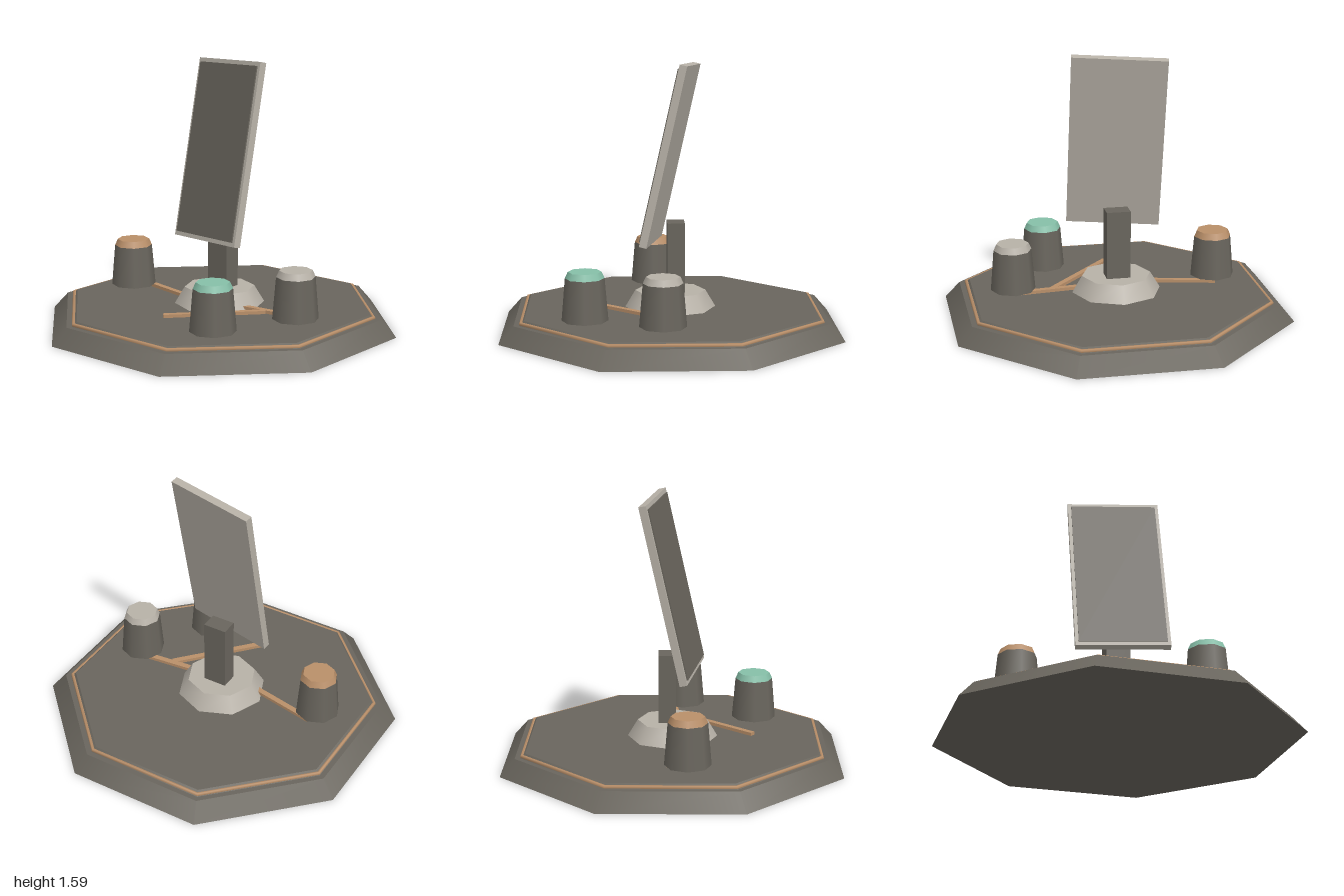
import * as THREE from 'three';

export function createModel() {
  const model = new THREE.Group();
  const mat = (name, color) => {
    const m = new THREE.MeshStandardMaterial({ color });
    m.name = name;
    return m;
  };
  const dark = mat('darkStone', 0x69655d);
  const pale = mat('paleStone', 0xb7b1a7);
  const copper = mat('copper', 0xb98f69);
  const mint = mat('mint', 0x86bfa8);

  const add = (name, geometry, material, x = 0, y = 0, z = 0, parent = model) => {
    const mesh = new THREE.Mesh(geometry, material);
    mesh.name = name;
    mesh.position.set(x, y, z);
    parent.add(mesh);
    return mesh;
  };
  // Eight-sided frustum standing between two heights
  const frustum = (rTop, rBottom, y0, y1) =>
    new THREE.CylinderGeometry(rTop, rBottom, y1 - y0, 8).translate(0, (y0 + y1) / 2, 0);

  // Octagonal platform: flat sides face the axes, sizes given to the flats
  const toCorner = 1 / Math.cos(Math.PI / 8);
  const slab = (top, bottom, y0, y1) =>
    frustum(top * toCorner, bottom * toCorner, y0, y1).rotateY(Math.PI / 8);
  add('base', slab(0.915, 1, 0, 0.1), dark);
  add('deck', slab(0.855, 0.89, 0.095, 0.125), dark);
  const trim = new THREE.TorusGeometry(0.873 * toCorner, 0.012, 6, 8);
  trim.rotateX(Math.PI / 2).rotateY(Math.PI / 8);
  add('copperTrim', trim, copper, 0, 0.108, 0);

  // Pedestal and post
  add('pedestal', frustum(0.21, 0.27, 0.125, 0.225), pale);
  add('post', new THREE.BoxGeometry(0.145, 0.44, 0.104), dark, 0, 0.42, -0.032);

  // Leaning, slightly turned panel
  const panel = new THREE.Group();
  panel.name = 'panel';
  panel.position.set(0, 1.05, 0);
  panel.rotation.set(-0.22, -0.192, 0);
  model.add(panel);
  add('panelFrame', new THREE.BoxGeometry(0.56, 1.08, 0.045), pale, 0, 0, 0, panel);
  add('panelScreen', new THREE.BoxGeometry(0.52, 1.03, 0.009), dark, 0, 0, 0.026, panel);

  // Copper strips: centre x, centre z, turn about y
  for (const [x, z, turn] of [[-0.32, 0.05, -0.2], [0.32, 0.03, 0.1], [0.18, 0.26, 0.84]]) {
    add('copperStrip', new THREE.BoxGeometry(0.6, 0.019, 0.035), copper, x, 0.1425, z)
      .rotation.y = turn;
  }

  // Tapered pots with coloured caps
  for (const [x, y, z, cap] of [
    [-0.62, 0.152, 0.093, copper],
    [0.62, 0.152, 0.06, pale],
    [0.375, 0.132, 0.503, mint],
  ]) {
    const pot = new THREE.Group();
    pot.name = 'cappedPot';
    pot.position.set(x, y, z);
    model.add(pot);
    add('potBody', frustum(0.114, 0.135, 0, 0.248), dark, 0, 0, 0, pot);
    add('potCap', frustum(0.097, 0.114, 0.248, 0.286), cap, 0, 0, 0, pot);
  }

  return model;
}
